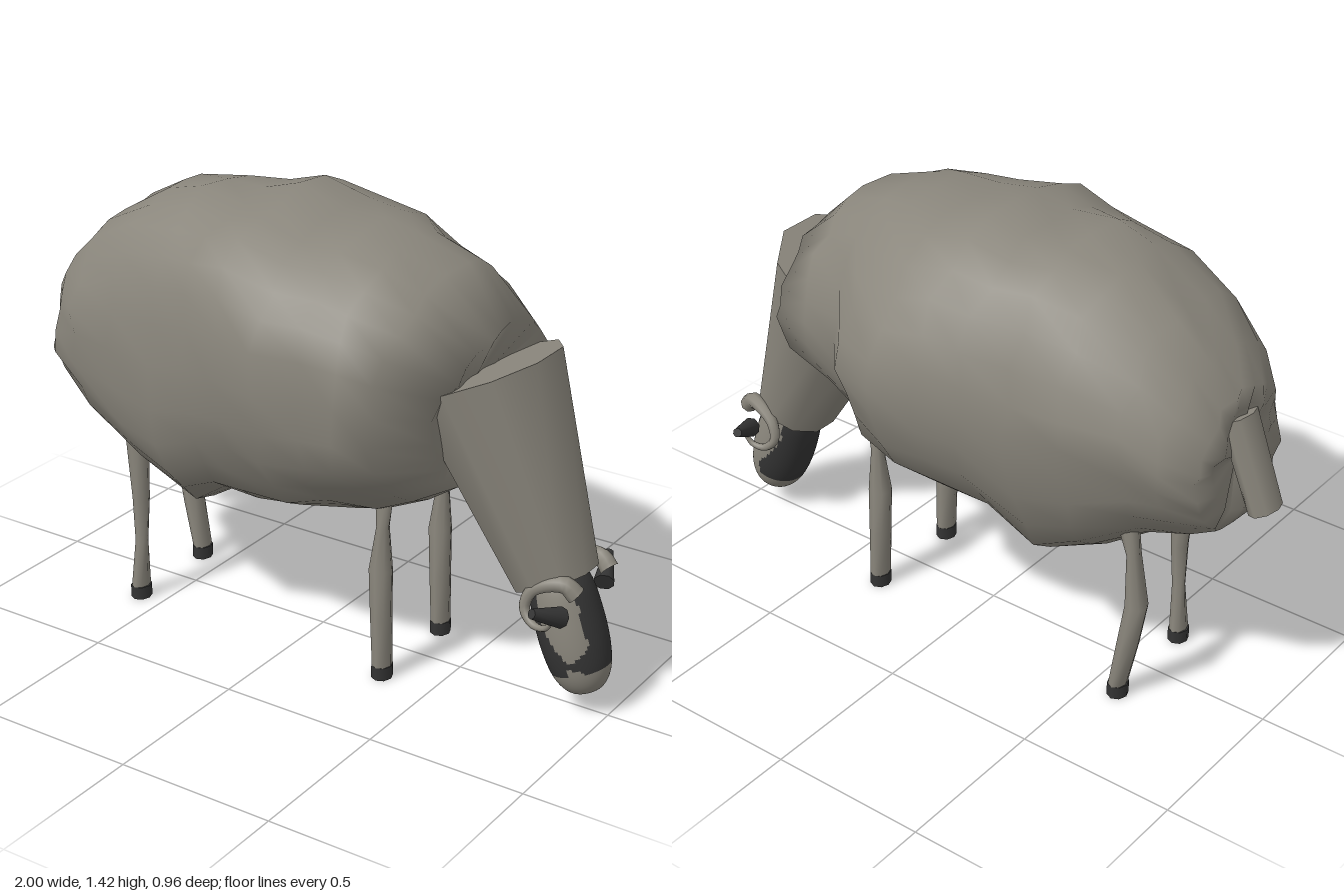
import * as THREE from 'three';

const wool = new THREE.MeshStandardMaterial({ color: 0x8a867c });
wool.name = 'wool grey';
const dark = new THREE.MeshStandardMaterial({ color: 0x343434 });
dark.name = 'dark horn';

function addMesh(parent, name, geometry, material) {
  const mesh = new THREE.Mesh(geometry, material);
  mesh.name = name;
  parent.add(mesh);
  return mesh;
}

// Skin through closed rings of points; every ring has the same count
function loft(rings) {
  const n = rings[0].length;
  const index = [];
  for (let i = 0; i < rings.length - 1; i++) {
    for (let j = 0; j < n; j++) {
      const k = (j + 1) % n;
      const a = i * n + j, b = a + n, c = i * n + k, d = c + n;
      index.push(a, b, c, b, d, c);
    }
  }
  const g = new THREE.BufferGeometry();
  g.setAttribute('position', new THREE.Float32BufferAttribute(rings.flat(2), 3));
  g.setIndex(index);
  g.computeVertexNormals();
  return g;
}

// Tapered rod between two points
function rod(parent, name, from, to, r0, r1, sides, material) {
  const a = new THREE.Vector3(...from), b = new THREE.Vector3(...to);
  const dir = b.clone().sub(a);
  const mesh = addMesh(parent, name, new THREE.CylinderGeometry(r1, r0, dir.length(), sides), material);
  mesh.position.copy(a).add(b).multiplyScalar(0.5);
  mesh.quaternion.setFromUnitVectors(new THREE.Vector3(0, 1, 0), dir.normalize());
  return mesh;
}

// Lumpy fleece: x, bottom, top, far side, near side
function fleeceGeometry() {
  const sections = [
    [-0.85, 0.86, 0.86, 0, 0],
    [-0.875, 0.7, 1.03, 0.14, 0.14],
    [-0.86, 0.64, 1.08, 0.22, 0.22],
    [-0.78, 0.62, 1.17, 0.29, 0.3],
    [-0.67, 0.57, 1.27, 0.32, 0.36],
    [-0.5, 0.45, 1.37, 0.38, 0.39],
    [-0.34, 0.38, 1.4, 0.4, 0.41],
    [-0.2, 0.46, 1.39, 0.44, 0.43],
    [-0.07, 0.47, 1.42, 0.47, 0.47],
    [0.08, 0.48, 1.38, 0.48, 0.48],
    [0.22, 0.51, 1.37, 0.44, 0.46],
    [0.33, 0.54, 1.34, 0.33, 0.45],
    [0.44, 0.59, 1.29, 0.3, 0.43],
    [0.54, 0.64, 1.15, 0.26, 0.25],
    [0.5, 0.9, 0.9, 0, 0],
  ];
  const n = 28, rim = sections.length - 2;
  let seed = 11;
  const random = () => (seed = (seed * 16807) % 2147483647) / 2147483647;
  return loft(sections.map(([x, bottom, top, far, near], i) => {
    const cy = bottom + (top - bottom) * 0.53;
    return Array.from({ length: n }, (_, j) => {
      const t = (j / n) * Math.PI * 2;
      const c = Math.cos(t), s = Math.sin(t);
      // The near side is fuller, the far side more pointed
      const power = (s > 0 ? 0.82 + 0.25 * x * x : 0.87) + (c < 0 ? 0.16 * -c + 0.05 : 0);
      const lump = Math.sin(4 * t + 5 * x) + Math.sin(7 * t - 9 * x + 1);
      const f = 1 + 0.014 * lump + 0.03 * (random() - 0.6);
      const ragged = i > 0 && i <= rim ? (random() - 0.5) * 0.035 : 0;
      // The front rim reaches over the neck, furthest above and on the far side
      const reach = i <= rim ? Math.max(0, (i - rim + 2) / 2) : 0;
      const lean = 0.11 * reach * Math.max(s, c < -0.3 && s > -0.6 ? 0.75 : 0, 0);
      return [
        x + ragged + lean,
        cy + Math.sign(s) * Math.abs(s) ** power * (s > 0 ? top - cy : cy - bottom) * f,
        Math.sign(c) * Math.abs(c) ** power * (c > 0 ? near : far) * f,
      ];
    });
  }));
}

// Leg through rings of x, y, half depth, half width
function legGeometry(rings, z) {
  const n = 8;
  return loft(rings.map(([x, y, rx, rz]) => Array.from({ length: n }, (_, j) => {
    const t = (j / n) * Math.PI * 2;
    return [x - rx * Math.sin(t), y, z + rz * Math.cos(t)];
  })));
}

// Rounded muzzle with the face and throat patches as a second material group
function headGeometry() {
  const profile = new THREE.SplineCurve([
    [0, -0.2], [0.05, -0.188], [0.084, -0.14], [0.1, -0.06],
    [0.102, 0.04], [0.092, 0.14], [0.06, 0.195], [0, 0.21],
  ].map(([r, y]) => new THREE.Vector2(r, y))).getPoints(64);
  profile.forEach((p) => { p.x = Math.max(p.x, 0); });
  const g = new THREE.LatheGeometry(profile, 72);
  const p = g.attributes.position, old = g.index.array;
  const light = [], black = [];
  for (let i = 0; i < old.length; i += 6) {
    const quad = Array.from(old.slice(i, i + 6));
    const mid = (get) => quad.reduce((sum, v) => sum + get(v), 0) / 6;
    const x = mid((v) => p.getX(v)), y = mid((v) => p.getY(v)), z = mid((v) => p.getZ(v));
    const wave = 0.004 * Math.sin(y * 60);
    const lobe = 0.03 * Math.exp(-(((y + 0.085) / 0.03) ** 2));
    const face = x > 0 && y > -0.122 && z < 0.064 + lobe + wave && z > -0.07 + wave;
    const edge = -0.035 + 0.045 * THREE.MathUtils.smoothstep(-y, -0.04, 0.06);
    const throat = y > -0.122 && x < edge + wave;
    (face || throat ? black : light).push(...quad);
  }
  g.setIndex([...light, ...black]);
  g.clearGroups();
  g.addGroup(0, light.length, 0);
  g.addGroup(light.length, black.length, 1);
  return g;
}

// Curled horn, thinning toward its tip
function hornGeometry(side) {
  const path = new THREE.CatmullRomCurve3([
    [0.93, 0.415, 0.1], [0.9, 0.443, 0.108], [0.85, 0.437, 0.12], [0.8, 0.403, 0.13],
    [0.787, 0.35, 0.14], [0.82, 0.315, 0.152], [0.865, 0.318, 0.162], [0.885, 0.34, 0.165],
  ].map(([x, y, z]) => new THREE.Vector3(x, y, z * side)));
  const steps = 24, sides = 8;
  const g = new THREE.TubeGeometry(path, steps, 0.029, sides);
  const p = g.attributes.position, v = new THREE.Vector3();
  for (let i = 0; i < p.count; i++) {
    const t = Math.floor(i / (sides + 1)) / steps;
    const c = path.getPointAt(t);
    v.fromBufferAttribute(p, i).sub(c).multiplyScalar(1 - 0.75 * t).add(c);
    p.setXYZ(i, v.x, v.y, v.z);
  }
  return g;
}

export function createModel() {
  const model = new THREE.Group();
  model.name = 'grazingSheep';

  addMesh(model, 'fleece', fleeceGeometry(), wool);
  rod(model, 'neck', [0.815, 0.41, 0.01], [0.56, 0.99, 0.01], 0.132, 0.238, 10, wool);
  const tail = rod(model, 'tail', [-0.957, 0.727, 0], [-0.85, 1.0, 0], 0.045, 0.05, 8, wool);
  tail.scale.z = 1.3;

  // Head, horns and ears
  const head = addMesh(model, 'head', headGeometry(), [wool, dark]);
  head.position.set(0.873, 0.255, 0.008);
  head.rotation.z = 0.32;
  for (const side of [1, -1]) {
    addMesh(model, 'horn', hornGeometry(side), wool);
    rod(model, 'ear', [0.9, 0.35, 0.13 * side], [0.86, 0.395, 0.232 * side], 0.032, 0.015, 8, dark);
  }

  // Legs
  const front = [
    [0.333, 0.04, 0.029, 0.036], [0.328, 0.2, 0.033, 0.036], [0.324, 0.36, 0.038, 0.034],
    [0.33, 0.5, 0.02, 0.02], [0.336, 0.65, 0.038, 0.02],
  ];
  const backNear = [
    [-0.583, 0.04, 0.026, 0.036], [-0.575, 0.2, 0.022, 0.018], [-0.572, 0.35, 0.028, 0.026],
    [-0.582, 0.65, 0.044, 0.036],
  ];
  const backFar = [
    [-0.59, 0.04, 0.027, 0.036], [-0.62, 0.2, 0.034, 0.036], [-0.645, 0.35, 0.036, 0.034],
    [-0.63, 0.52, 0.02, 0.026], [-0.6, 0.65, 0.04, 0.03],
  ];
  const legs = [
    ['frontLeg', front, 0.177], ['frontLeg', front, -0.158],
    ['backLeg', backNear, 0.177], ['backLeg', backFar, -0.158],
  ];
  for (const [name, rings, z] of legs) {
    addMesh(model, name, legGeometry(rings, z), wool);
    const hoof = addMesh(model, 'hoof', new THREE.CylinderGeometry(0.036, 0.036, 0.042, 8), dark);
    hoof.scale.x = 0.88;
    hoof.position.set(rings[0][0], 0.021, z);
  }
  return model;
}
